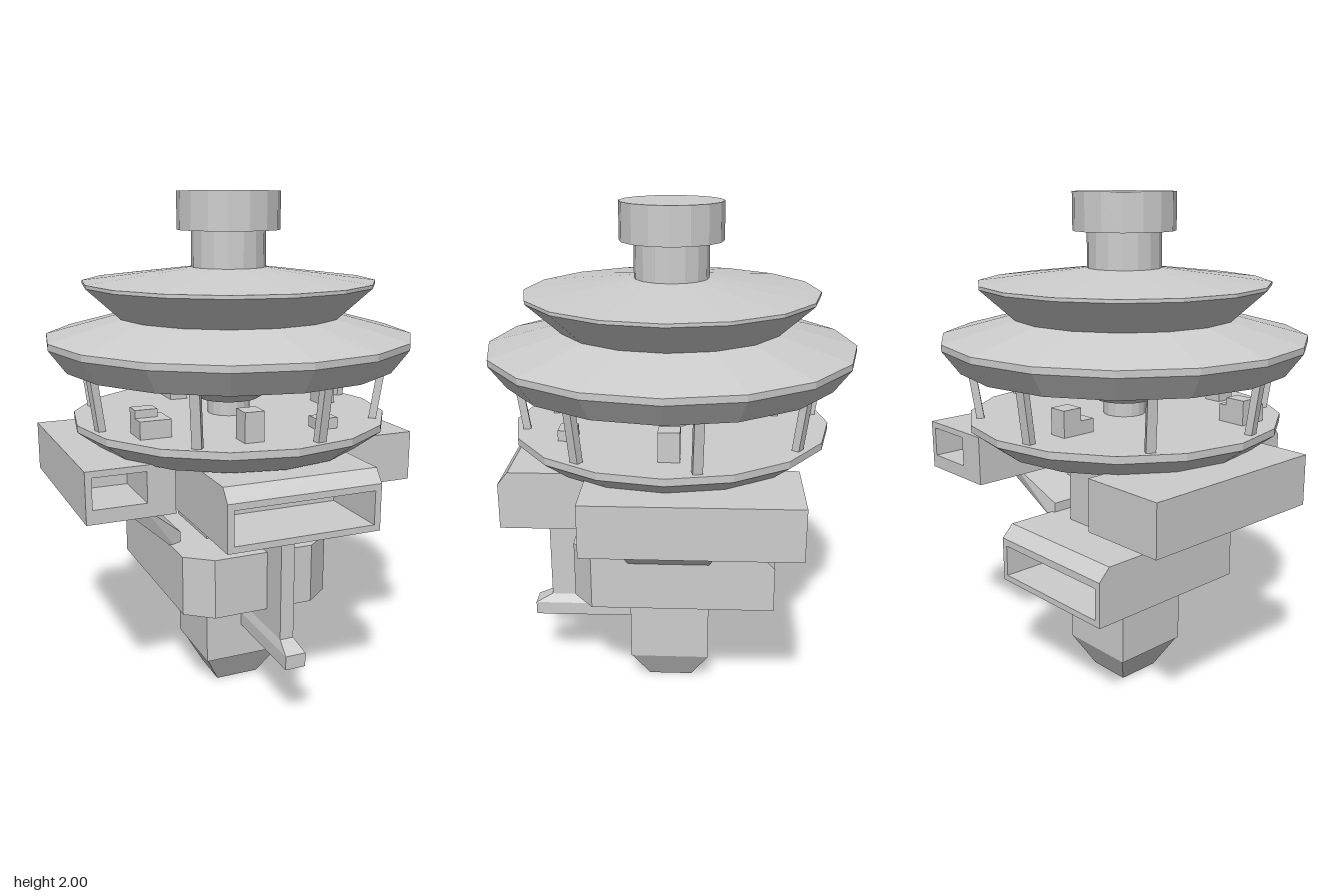
import * as THREE from 'three';
import { ConvexGeometry } from 'three/addons/geometries/ConvexGeometry.js';

const grey = new THREE.MeshStandardMaterial({ color: 0xcccccc });
grey.name = 'pale grey';

export function createModel() {
  const model = new THREE.Group();

  // Every part is faceted: split the vertices so each face gets its own normal
  const add = (name, geometry, parent = model) => {
    const g = geometry.index ? geometry.toNonIndexed() : geometry;
    g.computeVertexNormals();
    const mesh = new THREE.Mesh(g, grey);
    mesh.name = name;
    parent.add(mesh);
    return mesh;
  };
  const group = (name) => {
    const g = new THREE.Group();
    g.name = name;
    model.add(g);
    return g;
  };
  const box = (name, [x0, x1], [y0, y1], [z0, z1], parent) =>
    add(name, new THREE.BoxGeometry(x1 - x0, y1 - y0, z1 - z0)
      .translate((x0 + x1) / 2, (y0 + y1) / 2, (z0 + z1) / 2), parent);
  const hull = (name, points, parent) =>
    add(name, new ConvexGeometry(points.map((p) => new THREE.Vector3(...p))), parent);
  const lathe = (name, points, parent) =>
    add(name, new THREE.LatheGeometry(points.map((p) => new THREE.Vector2(...p)), 16), parent);
  // Profile of [y, z] points stretched between two x positions
  const prismX = (name, [x0, x1], profile, parent) =>
    hull(name, profile.flatMap(([y, z]) => [[x0, y, z], [x1, y, z]]), parent);
  // Rectangular collar with a rectangular opening, running along z
  const frame = (name, [x0, x1], [y0, y1], [z0, z1], [hx0, hx1], [hy0, hy1], parent) => {
    const rect = (a, b, c, d) => [[a, c], [b, c], [b, d], [a, d]].map((p) => new THREE.Vector2(...p));
    const shape = new THREE.Shape(rect(x0, x1, y0, y1));
    shape.holes.push(new THREE.Path(rect(hx0, hx1, hy0, hy1).reverse()));
    const g = new THREE.ExtrudeGeometry(shape, { depth: z1 - z0, bevelEnabled: false });
    add(name, g.translate(0, 0, z0), parent);
  };

  // Square central column with a tapered foot
  box('column', [-0.165, 0.16], [0.13, 1.05], [-0.16, 0.165]);
  hull('columnFoot', [[0.09, 0], [0.16, 0.13]].flatMap(([r, y]) =>
    [[-r, y, -r], [r, y, -r], [r, y, r], [-r, y, r]]));

  // Lower bay: chamfered front corners, opening at the back
  const lower = group('lowerBay');
  const lowX = [-0.32, 0.285];
  hull('lowerBayFront', [[-0.32, 0.31], [-0.22, 0.39], [0.185, 0.39], [0.285, 0.31], [0.285, -0.12], [-0.32, -0.12]]
    .flatMap(([x, z]) => [[x, 0.435, z], [x, 0.67, z]]), lower);
  frame('lowerBayMouth', lowX, [0.435, 0.62], [-0.42, -0.12], [-0.295, 0.26], [0.46, 0.59], lower);
  prismX('lowerBayLip', lowX, [[0.62, -0.42], [0.67, -0.37], [0.67, -0.12], [0.62, -0.12]], lower);

  // Upper bay: opening at the front
  const upper = group('upperBay');
  const upX = [-0.28, 0.325];
  box('upperBayBody', upX, [0.8, 1.03], [-0.04, 0.35], upper);
  frame('upperBayMouth', upX, [0.8, 0.98], [0.35, 0.65], [-0.255, 0.3], [0.825, 0.955], upper);
  prismX('upperBayLip', upX, [[0.98, 0.65], [1.03, 0.61], [1.03, 0.35], [0.98, 0.35]], upper);

  // Side bays: the right one opens to the front, the left one to the back
  const right = group('rightBay');
  box('rightBayBody', [-0.68, -0.34], [0.845, 1.045], [-0.485, 0.05], right);
  frame('rightBayMouth', [-0.68, -0.34], [0.845, 1.045], [0.05, 0.305], [-0.655, -0.45], [0.9, 1.02], right);
  const left = group('leftBay');
  box('leftBayBody', [0.325, 0.675], [0.855, 1.055], [-0.235, 0.3], left);
  frame('leftBayMouth', [0.325, 0.675], [0.855, 1.055], [-0.49, -0.235], [0.445, 0.65], [0.91, 1.03], left);

  // Sloping struts under the side bays
  for (const [name, s] of [['rightStrut', -1], ['leftStrut', 1]]) {
    const outline = [[0.525, 0.86, 0.235], [0.445, 0.86, 0.235], [0.27, 0.62, 0.155], [0.27, 0.71, 0.155]];
    hull(name, outline.flatMap(([x, y, z]) => [[s * x, y, z], [s * x, y, -z]]));
  }

  // Hanging fin and its foot
  box('fin', [-0.005, 0.05], [0.35, 0.81], [0.235, 0.51]);
  box('finFoot', [-0.015, 0.067], [0.27, 0.325], [0.165, 0.58]);
  hull('finFootTaper', [
    ...[-0.015, 0.067].flatMap((x) => [[x, 0.325, 0.165], [x, 0.325, 0.58]]),
    ...[-0.005, 0.05].flatMap((x) => [[x, 0.36, 0.235], [x, 0.36, 0.51]]),
  ]);

  // Round deck, double roof and top cap
  lathe('deck', [[0, 1.035], [0.525, 1.035], [0.625, 1.11], [0.625, 1.138], [0, 1.138]]);
  lathe('lowerRoof', [[0, 1.34], [0.655, 1.34], [0.722, 1.43], [0.722, 1.455], [0.44, 1.53], [0, 1.53]]);
  lathe('upperRoof', [[0, 1.53], [0.44, 1.53], [0.573, 1.65], [0.573, 1.663], [0.145, 1.715], [0, 1.715]]);
  lathe('neck', [[0.145, 1.7], [0.145, 1.87]]);
  lathe('cap', [[0, 1.855], [0.2, 1.855], [0.2, 2], [0, 2]]);

  // Pedestal in the middle of the deck
  lathe('pedestal', [[0.085, 1.13], [0.085, 1.2], [0.12, 1.2], [0.185, 1.245], [0.185, 1.33], [0, 1.33]]);

  // Eight pillars leaning outwards
  const pillars = group('pillars');
  for (let i = 0; i < 8; i++) {
    const pts = [[0.575, 1.13], [0.605, 1.345]].flatMap(([r, y]) =>
      [-0.018, 0.018].flatMap((w) => [[w, y, r - 0.015], [w, y, r + 0.015]]));
    hull('pillar', pts, pillars).rotation.y = Math.PI / 16 + i * Math.PI / 4;
  }

  // Consoles standing on the deck
  const consoles = group('consoles');
  for (const [x, y, z] of [
    [[-0.145, -0.07], 1.25, [0.41, 0.49]],
    [[0.18, 0.265], 1.18, [0.35, 0.42]],
    [[0.4, 0.47], 1.25, [-0.05, 0.03]],
    [[-0.47, -0.385], 1.235, [0.18, 0.245]],
    [[-0.47, -0.35], 1.205, [0.18, 0.3]],
    [[-0.145, -0.07], 1.24, [-0.43, -0.35]],
    [[-0.145, -0.07], 1.19, [-0.35, -0.29]],
  ]) box('console', x, [1.13, y], z, consoles);

  return model;
}
